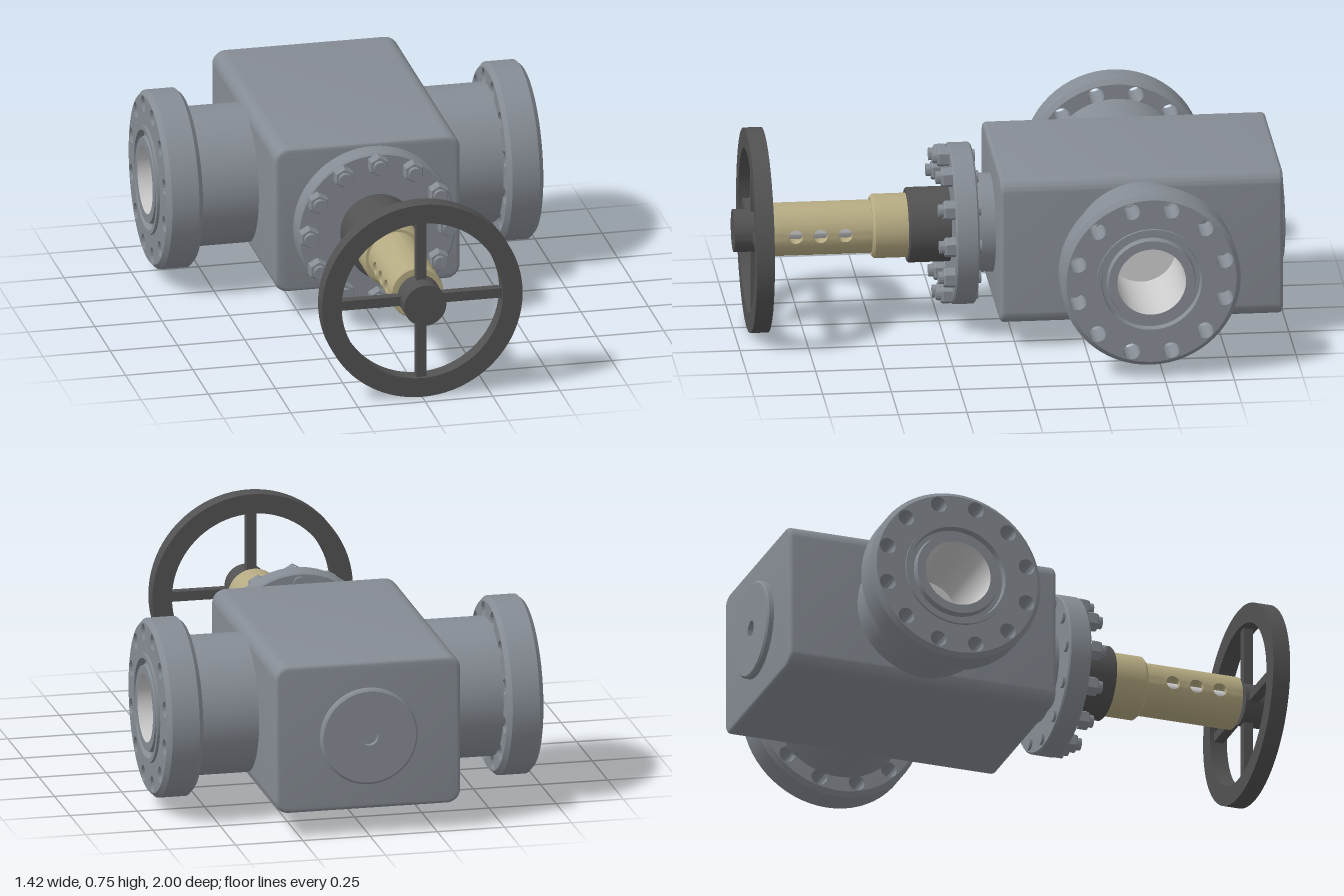
import * as THREE from 'three';
import { toCreasedNormals } from 'three/addons/utils/BufferGeometryUtils.js';
import { ParametricGeometry } from 'three/addons/geometries/ParametricGeometry.js';

const AXIS_Y = 0.376;
const PORT_Z = -0.453;
const mat = (color, side = THREE.FrontSide) => new THREE.MeshStandardMaterial({ color, side });
const steel = mat(0x868c94);
const dark = mat(0x525253);
const brass = mat(0xb5aa82, THREE.DoubleSide);
const bright = mat(0xcccccc, THREE.DoubleSide);

function add(parent, name, geometry, material) {
  const mesh = new THREE.Mesh(toCreasedNormals(geometry, 0.45), material);
  mesh.name = name;
  parent.add(mesh);
  return mesh;
}

// Turned part about z, from [radius, z] pairs
function turned(points, segments = 64) {
  return new THREE.LatheGeometry(points.map(p => new THREE.Vector2(...p)), segments).rotateX(Math.PI / 2);
}

function circle(r, x = 0, y = 0, Type = THREE.Path) {
  const c = new Type();
  c.absarc(x, y, r, 0, Math.PI * 2, false);
  return c;
}

function ring(outer, inner, z0, z1) {
  const s = circle(outer, 0, 0, THREE.Shape);
  s.holes.push(circle(inner));
  return new THREE.ExtrudeGeometry(s, { depth: z1 - z0, bevelEnabled: false, curveSegments: 40 }).translate(0, 0, z0);
}

// Block with its long edges rounded
function bodyBlock() {
  const w = 0.33, h = 0.263, r = 0.035, s = new THREE.Shape();
  s.absarc(w - r, h - r, r, 0, Math.PI / 2);
  s.absarc(-w + r, h - r, r, Math.PI / 2, Math.PI);
  s.absarc(-w + r, -h + r, r, Math.PI, Math.PI * 1.5);
  s.absarc(w - r, -h + r, r, Math.PI * 1.5, Math.PI * 2);
  return new THREE.ExtrudeGeometry(s, {
    depth: 1.0, bevelSize: 0.015, bevelThickness: 0.015, bevelSegments: 4, curveSegments: 6
  }).translate(0, 0, -0.955);
}

// Flanged pipe end, modelled along +z
function makePort(name) {
  const port = new THREE.Group();
  port.name = name;
  add(port, 'portNeck', turned([[0.255, 0.3], [0.255, 0.57]]), steel);

  const plate = circle(0.31, 0, 0, THREE.Shape);
  plate.holes.push(circle(0.19));
  for (let i = 0; i < 12; i++) {
    const a = (i + 0.5) * Math.PI / 6;
    plate.holes.push(circle(0.03, 0.277 * Math.cos(a), 0.277 * Math.sin(a)));
  }
  add(port, 'flangePlate', new THREE.ExtrudeGeometry(plate, {
    depth: 0.135, bevelEnabled: false, curveSegments: 32
  }).translate(0, 0, 0.565), steel);
  add(port, 'flangeRim', turned([[0.31, 0.565], [0.327, 0.582], [0.327, 0.683], [0.31, 0.7]]), steel);
  // raised face with its gasket groove
  add(port, 'raisedFace', turned([
    [0.2, 0.695], [0.2, 0.71], [0.183, 0.71], [0.178, 0.685], [0.162, 0.685],
    [0.157, 0.71], [0.125, 0.71]
  ]), steel);
  add(port, 'bore', turned([[0.125, 0.71], [0.125, 0.35], [0, 0.35]]), bright);
  return port;
}

// Tube with three cross holes on each side
function makeBarrel() {
  const barrel = new THREE.Group();
  barrel.name = 'perforatedBarrel';
  const R = 0.097, inner = 0.075, half = 0.045, hole = 0.026, halfAngle = half / R;
  add(barrel, 'barrelCollar', turned([
    [0.1, 0.37], [0.117, 0.37], [0.117, 0.49], [0.107, 0.5], [R, 0.5], [R, 0.555]
  ]), brass);
  add(barrel, 'barrelEnd', turned([
    [R, 0.825], [R, 0.867], [0.094, 0.87], [0.04, 0.87]
  ]), brass);
  add(barrel, 'barrelInside', ring(0.0755, inner, 0.5, 0.555), brass);

  // wraps the flat point (s, t) around the barrel
  const wrap = (s, t, r, out) => out.set(r * Math.cos(s / R), r * Math.sin(s / R), t);
  const patch = r => (u, v, out) => {
    const c = Math.cos(u * Math.PI * 2), s = Math.sin(u * Math.PI * 2);
    const k = THREE.MathUtils.lerp(hole, half / Math.max(Math.abs(c), Math.abs(s)), v);
    wrap(c * k, s * k, r, out);
  };
  const wall = (u, v, out) => {
    const a = u * Math.PI * 2;
    wrap(hole * Math.cos(a), hole * Math.sin(a), THREE.MathUtils.lerp(R, inner, v), out);
  };
  for (const turn of [0, Math.PI]) {
    const arc = new THREE.CylinderGeometry(R, R, 0.27, 32, 1, true,
      Math.PI / 2 + halfAngle + turn, Math.PI - 2 * halfAngle);
    add(barrel, 'barrelWall', arc.rotateX(Math.PI / 2).translate(0, 0, 0.69), brass);
    for (const z of [0.6, 0.69, 0.78]) {
      add(barrel, 'holeSurround', new ParametricGeometry(patch(R), 32, 5).rotateZ(turn).translate(0, 0, z), brass);
      add(barrel, 'holeWall', new ParametricGeometry(wall, 32, 1).rotateZ(turn).translate(0, 0, z), brass);
    }
  }
  return barrel;
}

// Bolted bonnet flange
function makeBonnet() {
  const bonnet = new THREE.Group();
  bonnet.name = 'bonnet';
  add(bonnet, 'bonnetNeck', turned([[0.18, 0.05], [0.18, 0.14]]), steel);
  add(bonnet, 'bonnetFlange', turned([
    [0, 0.13], [0.288, 0.13], [0.294, 0.136], [0.294, 0.209], [0.288, 0.215], [0, 0.215]
  ]), steel);
  for (let i = 0; i < 12; i++) {
    const a = i * Math.PI / 6;
    const bolt = new THREE.Group();
    bolt.name = 'bolt';
    bolt.position.set(0.258 * Math.cos(a), 0.258 * Math.sin(a), 0);
    add(bolt, 'nut', turned([[0.038, 0.215], [0.038, 0.25], [0.034, 0.256], [0, 0.256]], 6), steel);
    add(bolt, 'stud', turned([[0, 0.12], [0.023, 0.12], [0.023, 0.275], [0, 0.275]], 16), steel);
    bonnet.add(bolt);
  }
  add(bonnet, 'packingHousing', turned([
    [0.137, 0.21], [0.137, 0.365], [0.132, 0.37], [0, 0.37]
  ]), dark);
  return bonnet;
}

function makeHandwheel() {
  const wheel = new THREE.Group();
  wheel.name = 'handwheel';
  add(wheel, 'wheelRim', ring(0.373, 0.3, 0.885, 0.95), dark);
  for (let i = 0; i < 4; i++) {
    const spoke = new THREE.BoxGeometry(0.26, 0.036, 0.036).translate(0.185, 0, 0.918);
    add(wheel, 'spoke', spoke.rotateZ(i * Math.PI / 2), dark);
  }
  add(wheel, 'wheelHub', turned([[0, 0.888], [0.078, 0.888], [0.078, 1.0], [0, 1.0]]), dark);
  return wheel;
}

export function createModel() {
  const model = new THREE.Group();
  model.name = 'gateValve';
  const valve = new THREE.Group();
  valve.name = 'valve';
  valve.position.y = AXIS_Y;
  model.add(valve);

  add(valve, 'body', bodyBlock(), steel);
  // rear cover with a shallow centre hole
  add(valve, 'rearCover', turned([
    [0, -0.975], [0.032, -0.975], [0.032, -0.995], [0.172, -0.995], [0.18, -0.988], [0.18, -0.965]
  ]), steel);

  for (const side of [1, -1]) {
    const port = makePort(side > 0 ? 'leftPort' : 'rightPort');
    port.position.z = PORT_Z;
    port.rotation.y = side * Math.PI / 2;
    valve.add(port);
  }

  add(valve, 'stem', turned([[0.038, 0.36], [0.038, 0.9]], 32), bright);
  valve.add(makeBonnet(), makeBarrel(), makeHandwheel());
  return model;
}
